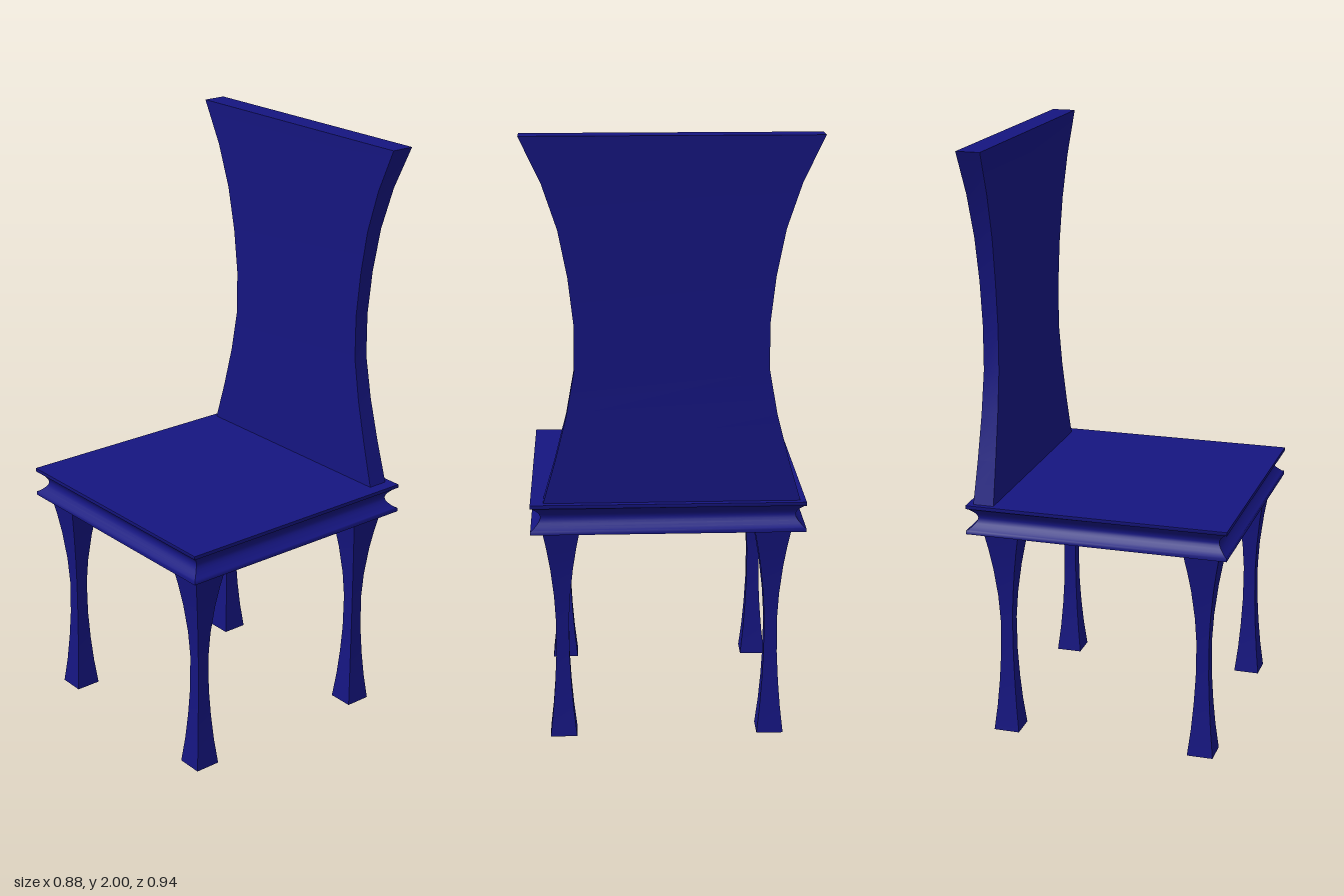
import * as THREE from 'three';

const material = new THREE.MeshStandardMaterial({ color: 0x151580 });

// Four-sided column through rows of [y, halfX, halfZ], rising; corners are sharp,
// each side is smooth along its height.
function column(name, rows, x, z) {
  const pos = [], idx = [];
  const corners = [[1, 1], [1, -1], [-1, -1], [-1, 1]];
  const put = ([y, hx, hz], [sx, sz]) => pos.push(x + sx * hx, y, z + sz * hz);
  for (let s = 0; s < 4; s++) {
    const base = pos.length / 3;
    rows.forEach((row) => {
      put(row, corners[s]);
      put(row, corners[(s + 1) % 4]);
    });
    for (let i = 0; i < rows.length - 1; i++) {
      const a = base + 2 * i;
      idx.push(a, a + 1, a + 3, a, a + 3, a + 2);
    }
  }
  // Bottom and top caps
  [rows[0], rows[rows.length - 1]].forEach((row, top) => {
    const b = pos.length / 3;
    corners.forEach((c) => put(row, c));
    if (top) idx.push(b, b + 1, b + 2, b, b + 2, b + 3);
    else idx.push(b, b + 2, b + 1, b, b + 3, b + 2);
  });
  const geo = new THREE.BufferGeometry();
  geo.setAttribute('position', new THREE.Float32BufferAttribute(pos, 3));
  geo.setIndex(idx);
  geo.computeVertexNormals();
  const mesh = new THREE.Mesh(geo, material);
  mesh.name = name;
  return mesh;
}

export function createModel() {
  const chair = new THREE.Group();
  chair.name = 'chair';

  // Seat slab with a rounded groove around its rim
  const seat = [[0.73, 0.44, 0.443], [0.742, 0.44, 0.443]];
  for (let i = 0; i <= 8; i++) {
    const t = i / 8;
    const inset = 0.006 + 0.026 * Math.sin(Math.PI * t);
    seat.push([0.744 + 0.072 * t, 0.44 - inset, 0.443 - inset]);
  }
  seat.push([0.818, 0.44, 0.443], [0.83, 0.44, 0.443]);
  chair.add(column('seat', seat, 0, 0.012));

  // Waisted backrest, flaring towards the top
  chair.add(column('backrest', [
    [0.825, 0.035, 0.414], [0.97, 0.031, 0.372], [1.115, 0.028, 0.335],
    [1.26, 0.026, 0.309], [1.41, 0.026, 0.308], [1.56, 0.027, 0.325],
    [1.71, 0.03, 0.354], [1.855, 0.034, 0.402], [2, 0.04, 0.47],
  ], 0.384, 0));

  // Four waisted square legs
  const leg = [
    [0, 0.044], [0.09, 0.034], [0.18, 0.027], [0.28, 0.022], [0.4, 0.021],
    [0.49, 0.026], [0.59, 0.037], [0.66, 0.048], [0.735, 0.062],
  ].map(([y, h]) => [y, h, h]);
  for (const [sx, x] of [['Left', 0.335], ['Right', -0.346]]) {
    for (const [sz, z] of [['front', 0.358], ['back', -0.329]]) {
      chair.add(column(`${sz}${sx}Leg`, leg, x, z));
    }
  }
  return chair;
}
